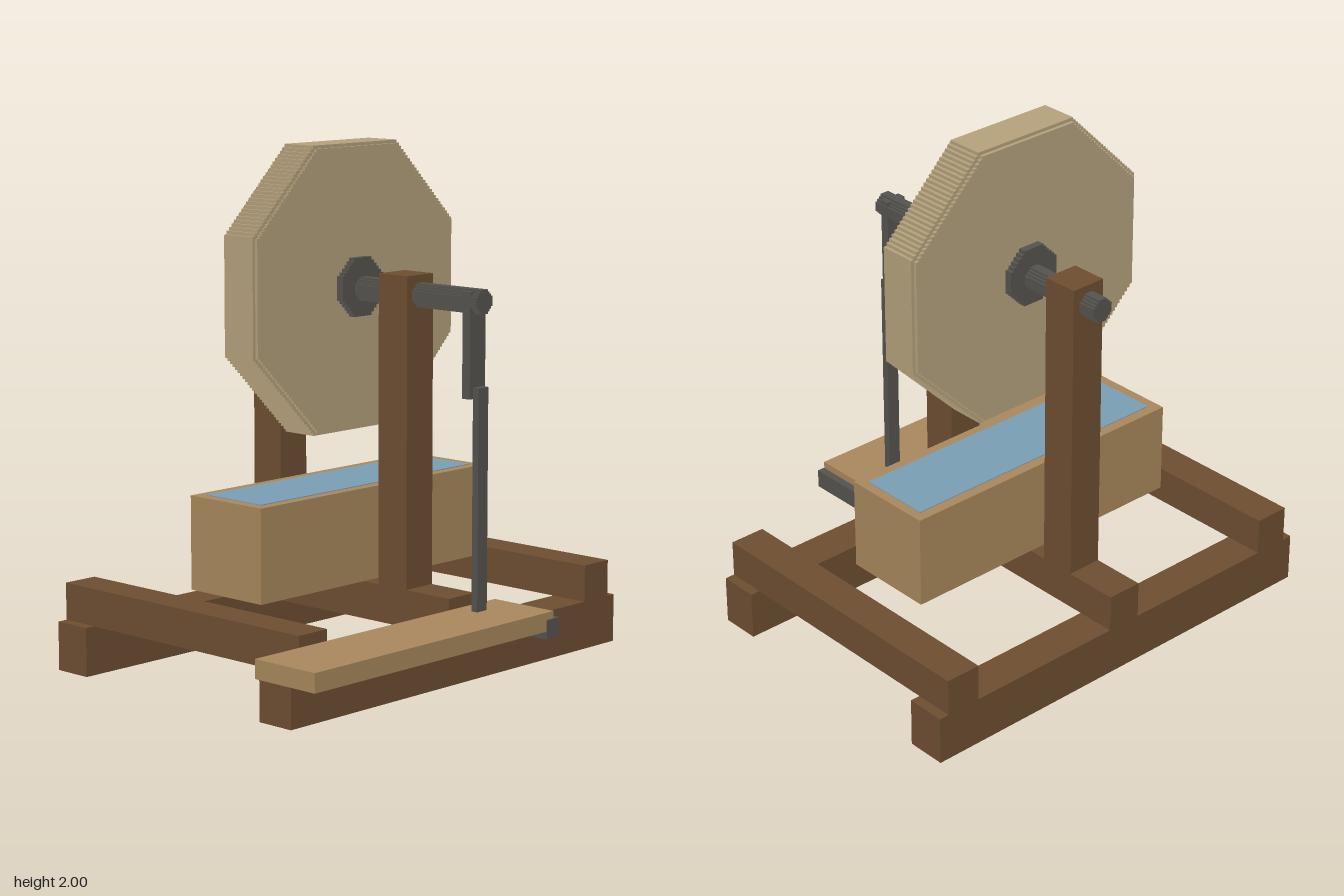
import * as THREE from 'three';

const mat = (name, color) => {
  const m = new THREE.MeshStandardMaterial({ color });
  m.name = name;
  return m;
};

export function createModel() {
  const darkWood = mat('darkWood', 0x705032);
  const lightWood = mat('lightWood', 0xab8a5e);
  const stone = mat('stone', 0xb8a47e);
  const iron = mat('iron', 0x575551);
  const water = mat('water', 0x7ba0b7);

  const model = new THREE.Group();
  model.name = 'treadleGrindstone';

  // Box given by its extents on each axis
  function box(name, material, [x0, x1], [y0, y1], [z0, z1]) {
    const mesh = new THREE.Mesh(new THREE.BoxGeometry(x1 - x0, y1 - y0, z1 - z0), material);
    mesh.position.set((x0 + x1) / 2, (y0 + y1) / 2, (z0 + z1) / 2);
    mesh.name = name;
    model.add(mesh);
  }

  // Octagonal prism along x whose slanted sides are cut into fine stairs
  function steppedDisc(name, material, [x0, x1], cy, cz, half, flat, steps) {
    const d = (half - flat) / steps;
    const corner = [];
    for (let i = 0; i <= steps; i++) {
      corner.push([half - i * d, flat + i * d]);
      if (i < steps) corner.push([half - (i + 1) * d, flat + i * d]);
    }
    const points = [];
    for (let q = 0; q < 4; q++) {
      const c = [1, 0, -1, 0][q], s = [0, 1, 0, -1][q];
      for (const [a, b] of corner) points.push(new THREE.Vector2(a * c - b * s, a * s + b * c));
    }
    const geo = new THREE.ExtrudeGeometry(new THREE.Shape(points), { depth: x1 - x0, bevelEnabled: false });
    geo.rotateY(Math.PI / 2);
    const mesh = new THREE.Mesh(geo, material);
    mesh.position.set(x0, cy, cz);
    mesh.name = name;
    model.add(mesh);
  }

  // Base frame: two runners carrying three cross beams
  box('rightRunner', darkWood, [-0.77, -0.612], [0, 0.19], [-1, 0.823]);
  box('leftRunner', darkWood, [0.317, 0.475], [0, 0.19], [-1, 0.823]);
  const beams = { frontBeam: [0.638, 0.782], middleBeam: [-0.16, -0.016], backBeam: [-0.96, -0.816] };
  for (const [name, z] of Object.entries(beams)) box(name, darkWood, [-0.77, 0.475], [0.19, 0.335], z);

  // Uprights holding the axle
  box('rightPost', darkWood, [-0.552, -0.408], [0.335, 1.525], [-0.16, -0.016]);
  box('leftPost', darkWood, [0.115, 0.259], [0.335, 1.525], [-0.16, -0.016]);

  // Water trough
  box('trough', lightWood, [-0.335, 0.038], [0.335, 0.697], [-0.71, 0.535]);
  box('waterSurface', water, [-0.293, -0.002], [0.694, 0.7], [-0.672, 0.493]);

  // Grinding wheel: wide core with a slightly larger, narrower rim
  steppedDisc('wheelRim', stone, [-0.221, -0.073], 1.4525, -0.087, 0.5475, 0.23, 25);
  steppedDisc('wheelCore', stone, [-0.235, -0.061], 1.4525, -0.087, 0.535, 0.223, 25);

  // Hub flanges and axle
  steppedDisc('hub', iron, [-0.265, -0.032], 1.456, -0.087, 0.112, 0.047, 5);
  steppedDisc('axle', iron, [-0.625, 0.577], 1.45, -0.087, 0.045, 0.019, 3);

  // Crank, connecting rod and foot pedal with its pivot bar
  box('crankArm', iron, [0.508, 0.545], [1.09, 1.488], [-0.13, -0.044]);
  box('connectingRod', iron, [0.547, 0.575], [0.28, 1.133], [-0.114, -0.06]);
  box('pedal', lightWood, [0.476, 0.765], [0.22, 0.292], [-0.275, 1]);
  box('pedalPivot', iron, [0.475, 0.767], [0.19, 0.264], [-0.306, -0.235]);

  return model;
}
